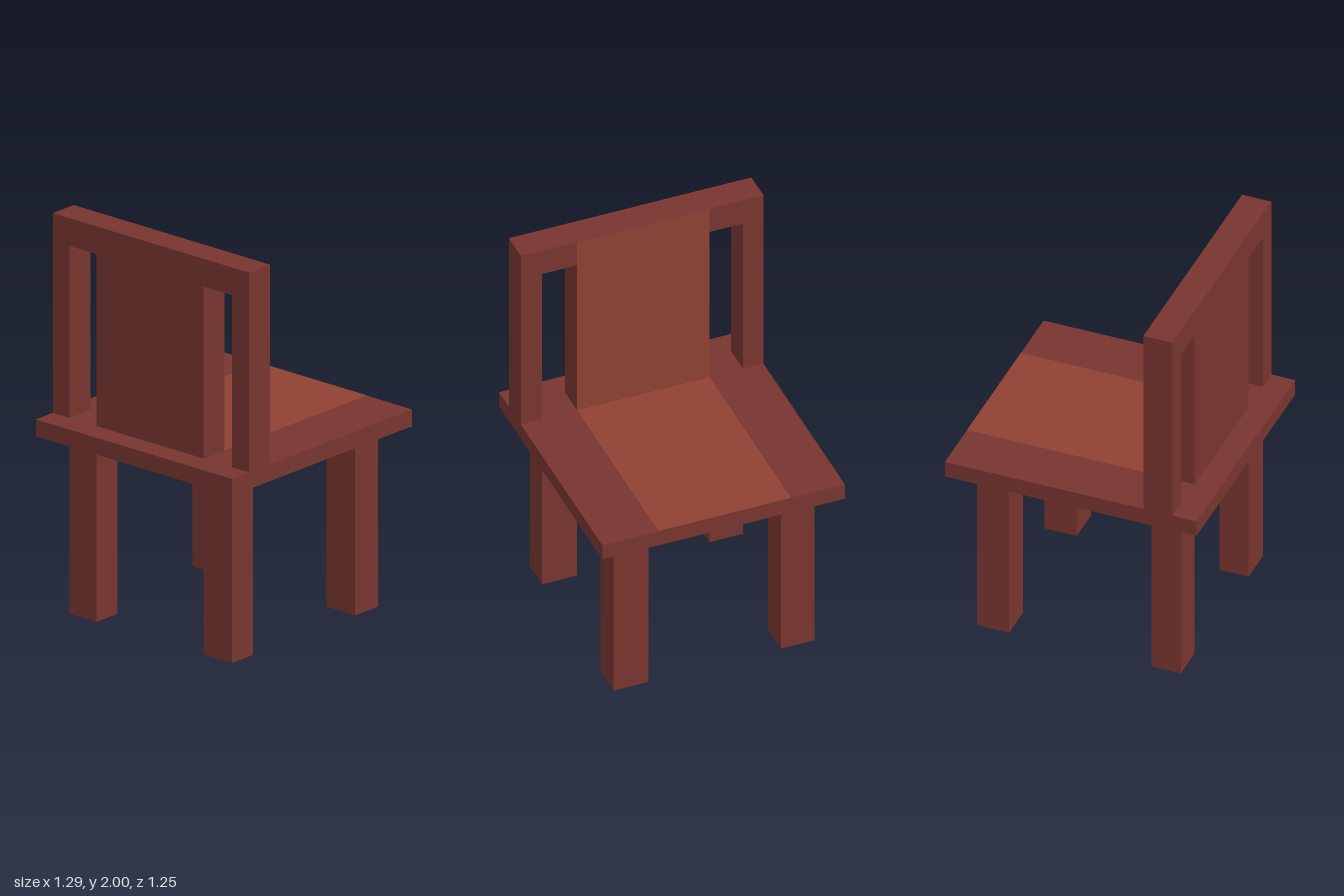
import * as THREE from 'three';

const dark = new THREE.MeshStandardMaterial({ color: 0x783530, flatShading: true });
const warm = new THREE.MeshStandardMaterial({ color: 0x8f4133, flatShading: true });

const SEAT_BOTTOM = 0.905, SEAT_TOP = 0.99, TOP = 2;
const BACK_X = [-0.523, -0.373];
const FRONT_X = [0.358, 0.523];
const SIDES = { left: [0.335, 0.515], right: [-0.518, -0.345] };
const PANEL_Z = [-0.345, 0.335];

// Box between two limits on each axis
function box(name, [x0, x1], [y0, y1], [z0, z1]) {
  const mesh = new THREE.Mesh(new THREE.BoxGeometry(x1 - x0, y1 - y0, z1 - z0), dark);
  mesh.position.set((x0 + x1) / 2, (y0 + y1) / 2, (z0 + z1) / 2);
  mesh.name = name;
  return mesh;
}

// Backrest: one slab with two slots that open down onto the seat
function backrest() {
  const slotTop = 1.86;
  const shape = new THREE.Shape();
  shape.moveTo(-0.623, SEAT_TOP);
  for (const [z0, z1] of [SIDES.right, SIDES.left]) {
    shape.lineTo(z0, SEAT_TOP);
    shape.lineTo(z0, slotTop);
    shape.lineTo(z1, slotTop);
    shape.lineTo(z1, SEAT_TOP);
  }
  shape.lineTo(0.623, SEAT_TOP);
  shape.lineTo(0.623, TOP);
  shape.lineTo(-0.623, TOP);
  shape.closePath();
  const geometry = new THREE.ExtrudeGeometry(shape, { depth: BACK_X[1] - BACK_X[0], bevelEnabled: false });
  geometry.rotateY(-Math.PI / 2).translate(BACK_X[1], 0, 0);
  const mesh = new THREE.Mesh(geometry, dark);
  mesh.name = 'backrest';
  return mesh;
}

// Lighter stripe running over the seat and up the backrest
function stripes() {
  const group = new THREE.Group();
  group.name = 'stripe';
  const width = PANEL_Z[1] - PANEL_Z[0], middle = (PANEL_Z[0] + PANEL_Z[1]) / 2;
  const lift = 0.002;

  const length = 0.645 - BACK_X[1];
  const seat = new THREE.Mesh(new THREE.PlaneGeometry(length, width).rotateX(-Math.PI / 2), warm);
  seat.position.set(BACK_X[1] + length / 2, SEAT_TOP + lift, middle);
  seat.name = 'seatStripe';

  const height = TOP - SEAT_TOP;
  const back = new THREE.Mesh(new THREE.PlaneGeometry(width, height).rotateY(Math.PI / 2), warm);
  back.position.set(BACK_X[1] + lift, SEAT_TOP + height / 2, middle);
  back.name = 'backrestStripe';

  group.add(seat, back);
  return group;
}

export function createModel() {
  const chair = new THREE.Group();
  chair.name = 'chair';
  chair.add(box('seat', [-0.645, 0.645], [SEAT_BOTTOM, SEAT_TOP], [-0.623, 0.623]));
  chair.add(backrest(), stripes());

  // Four legs; the chair opens towards +x
  for (const [side, z] of Object.entries(SIDES)) {
    chair.add(box(side + 'BackrestEndLeg', BACK_X, [0, SEAT_BOTTOM], z));
    chair.add(box(side + 'SeatEndLeg', FRONT_X, [0, SEAT_BOTTOM], z));
  }
  return chair;
}
